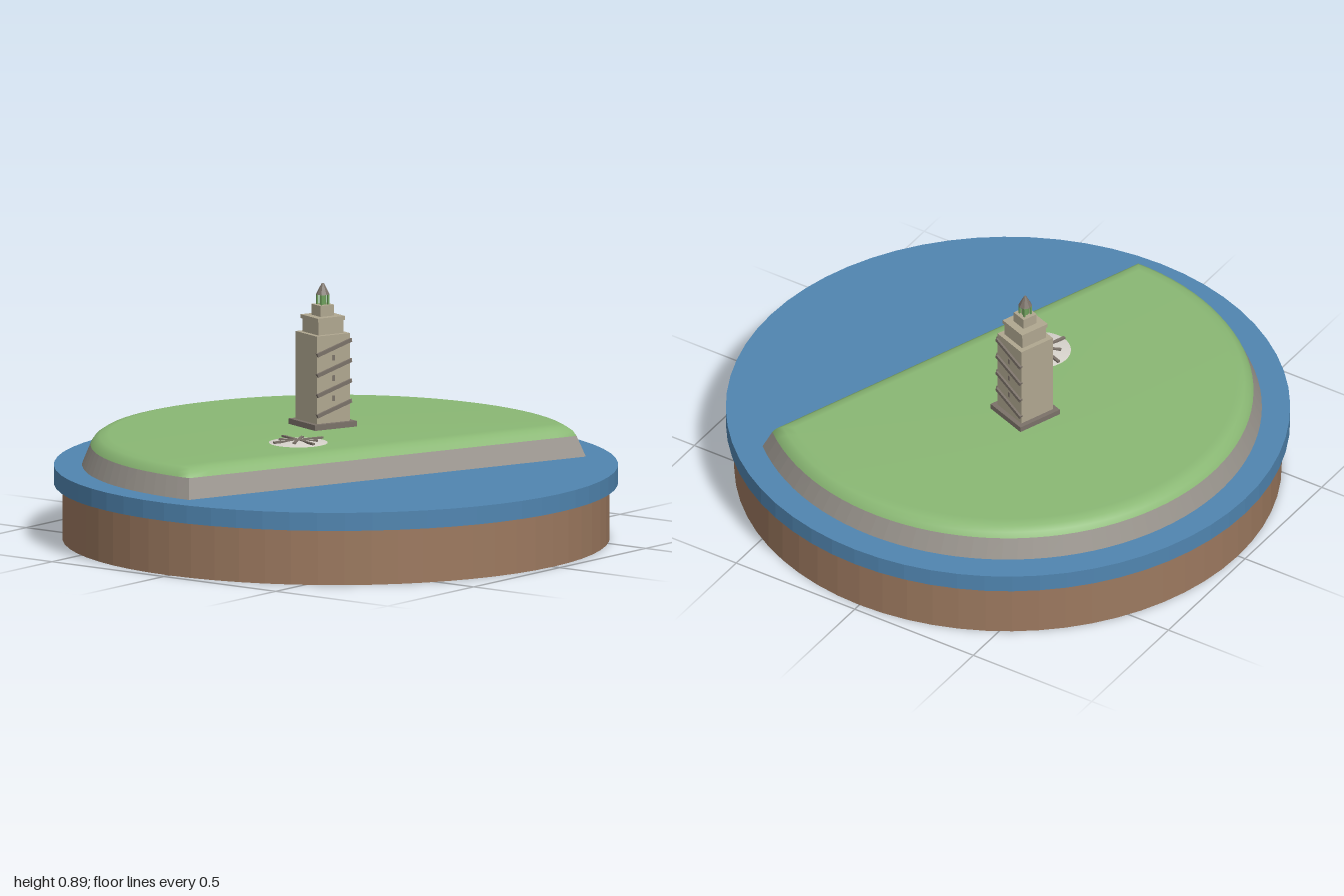
import * as THREE from 'three';

const mat = (name, color) => {
  const m = new THREE.MeshStandardMaterial({ color });
  m.name = name;
  return m;
};
const earth = mat('earth brown', 0x9c795f);
const water = mat('water blue', 0x5085b0);
const rock = mat('rock grey', 0x98938c);
const grass = mat('grass green', 0x8ab874);
const stone = mat('tower stone', 0xb0a790);
const trim = mat('dark trim', 0x7b7269);
const pale = mat('pale dome', 0xd6d2cb);
const patina = mat('lantern green', 0x6fa05c);

const ANGLE = -THREE.MathUtils.degToRad(20); // heading of the straight shore

function add(parent, name, geometry, material, x = 0, y = 0, z = 0) {
  const mesh = new THREE.Mesh(geometry, material);
  mesh.name = name;
  mesh.position.set(x, y, z);
  parent.add(mesh);
  return mesh;
}

function flat(geometry) {
  const g = geometry.index ? geometry.toNonIndexed() : geometry;
  g.computeVertexNormals();
  return g;
}

// Disc outline cut by a straight shore, pulled in by inset
function outline(inset, n = 64, chord = 20) {
  const r = 0.9 - inset, d = 0.34 - inset;
  const a = Math.asin(d / r), half = r * Math.cos(a);
  const pts = [];
  for (let i = 0; i < n; i++) {
    const t = a - (i / n) * (Math.PI + 2 * a);
    pts.push([r * Math.cos(t), r * Math.sin(t)]);
  }
  for (let i = 0; i < chord; i++) pts.push([-half + (2 * half * i) / chord, d]);
  return pts;
}

// Skin through [inset, y] levels, optionally closed by a fan on top
function terrain(levels, closed) {
  const pos = [], index = [];
  let n = 0;
  for (const [inset, y] of levels) {
    const loop = outline(inset);
    n = loop.length;
    for (const [x, z] of loop) pos.push(x, y, z);
  }
  for (let k = 0; k < levels.length - 1; k++) {
    for (let i = 0; i < n; i++) {
      const a = k * n + i, b = k * n + ((i + 1) % n);
      index.push(a, b, b + n, a, b + n, a + n);
    }
  }
  if (closed) {
    const base = (levels.length - 1) * n, c = pos.length / 3;
    pos.push(0, levels[levels.length - 1][1], -0.2);
    for (let i = 0; i < n; i++) index.push(base + i, base + ((i + 1) % n), c);
  }
  const g = new THREE.BufferGeometry();
  g.setAttribute('position', new THREE.Float32BufferAttribute(pos, 3));
  g.setIndex(index);
  g.computeVertexNormals();
  return g;
}

function buildTower() {
  const tower = new THREE.Group();
  tower.name = 'tower';
  const block = (name, w, y0, y1, m) =>
    add(tower, name, new THREE.BoxGeometry(w, y1 - y0, w), m, 0, (y0 + y1) / 2, 0);
  block('towerPlinth', 0.175, 0.37, 0.395, trim);
  block('towerShaft', 0.14, 0.395, 0.71, stone);
  block('upperStage', 0.105, 0.71, 0.757, stone);
  block('upperCornice', 0.114, 0.757, 0.771, stone);
  block('lanternBase', 0.058, 0.771, 0.81, stone);

  // Slanting bands and slit windows on the two decorated faces
  for (const side of [0, 1]) {
    const face = new THREE.Group();
    face.name = side ? 'sideFaceDetails' : 'frontFaceDetails';
    face.rotation.y = side * Math.PI / 2;
    for (let i = 0; i < 4; i++) {
      const y = 0.445 + i * 0.073;
      const band = add(face, 'slantedBand', new THREE.BoxGeometry(0.147, 0.013, 0.012), trim, 0, y, 0.072);
      band.rotation.z = side ? -0.3 : 0.3;
      if (i < 3) add(face, 'slitWindow', new THREE.BoxGeometry(0.008, 0.02, 0.006), trim, 0, y + 0.037, 0.07);
    }
    tower.add(face);
  }

  // Lantern with corner posts and pointed roof
  add(tower, 'lanternCore', flat(new THREE.CylinderGeometry(0.013, 0.013, 0.038, 8)), patina, 0, 0.829, 0);
  for (let i = 0; i < 4; i++) {
    const a = Math.PI / 4 + i * Math.PI / 2;
    add(tower, 'lanternPost', new THREE.BoxGeometry(0.006, 0.038, 0.006), patina,
      0.02 * Math.cos(a), 0.829, 0.02 * Math.sin(a));
  }
  add(tower, 'lanternRoof', flat(new THREE.CylinderGeometry(0.004, 0.025, 0.04, 8)), trim, 0, 0.866, 0);
  tower.position.set(0.112, 0, -0.145);
  tower.rotation.y = ANGLE;
  return tower;
}

function buildDome() {
  const dome = new THREE.Group();
  dome.name = 'lowDome';
  const profile = [];
  for (let i = 0; i <= 6; i++) {
    const t = i / 6;
    profile.push(new THREE.Vector2(0.11 * (1 - t), 0.011 * (1 - (1 - t) ** 2)));
  }
  add(dome, 'domeShell', new THREE.LatheGeometry(profile, 40), pale, 0, 0.374, 0);
  // Crossed ribs, alternately long and short
  for (let i = 0; i < 4; i++) {
    const rib = add(dome, 'domeRib', new THREE.BoxGeometry(i % 2 ? 0.14 : 0.205, 0.007, 0.011), trim, 0, 0.3835, 0);
    rib.rotation.y = i * Math.PI / 4;
  }
  dome.position.set(-0.223, 0, 0.003);
  dome.rotation.y = ANGLE;
  return dome;
}

export function createModel() {
  const model = new THREE.Group();
  model.name = 'islandWithTower';
  add(model, 'earthBase', flat(new THREE.CylinderGeometry(0.97, 0.97, 0.2, 64)), earth, 0, 0.1, 0);
  add(model, 'waterDisc', flat(new THREE.CylinderGeometry(1, 1, 0.065, 64)), water, 0, 0.2325, 0);

  // Island: sloping rock bank and rounded grass top
  const island = new THREE.Group();
  island.name = 'island';
  add(island, 'rockBank', flat(terrain([[0, 0.264], [0.03, 0.337]], false)), rock);
  add(island, 'grassTop', terrain([[0.03, 0.337], [0.042, 0.355], [0.062, 0.368], [0.095, 0.375]], true), grass);
  island.rotation.y = ANGLE;
  model.add(island, buildTower(), buildDome());
  return model;
}
